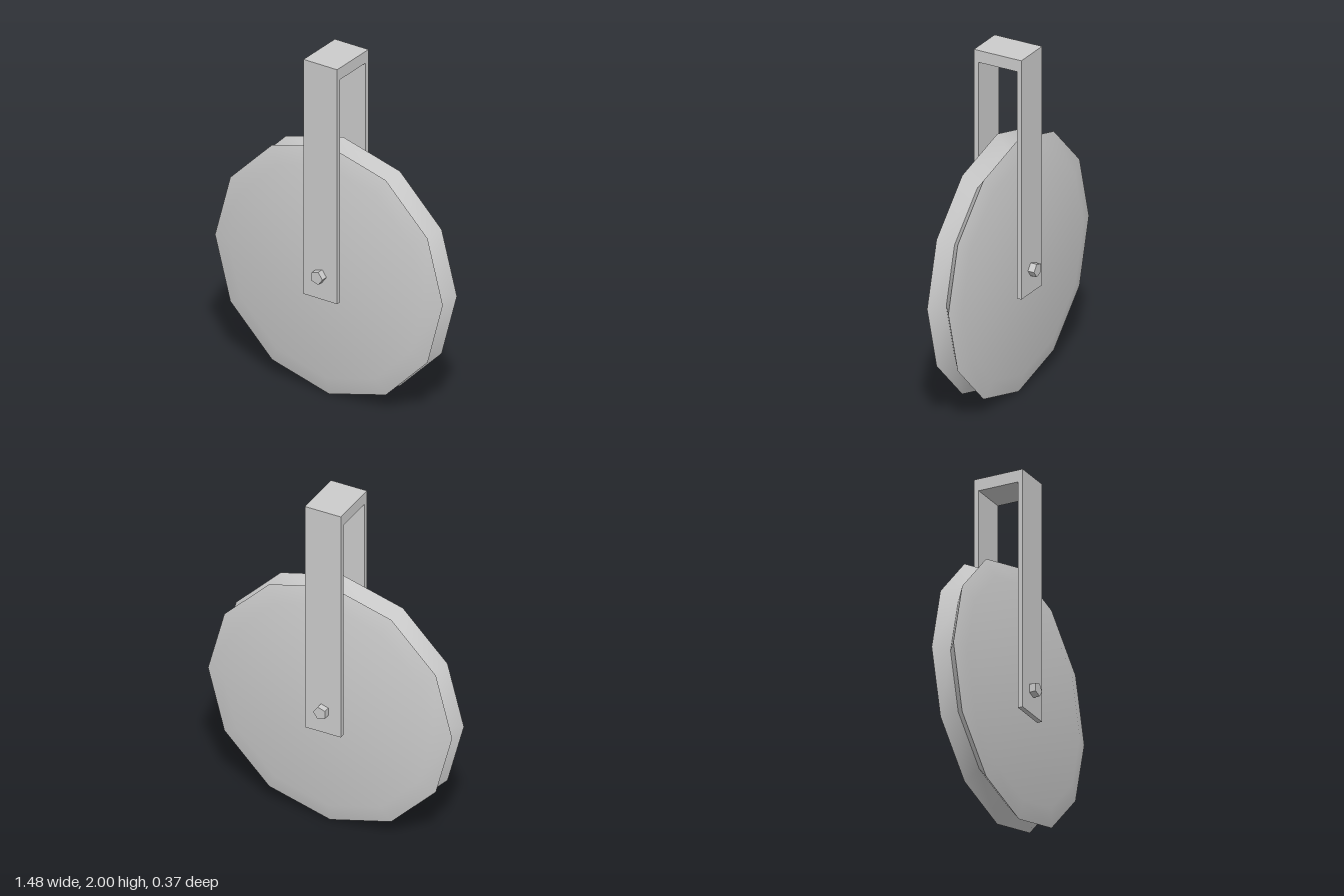
import * as THREE from 'three';
import { toCreasedNormals } from 'three/addons/utils/BufferGeometryUtils.js';

export function createModel() {
  const model = new THREE.Group();
  model.name = 'pulley';
  const grey = new THREE.MeshStandardMaterial({ color: 0xcccccc });
  grey.name = 'light grey';

  const add = (name, geometry, y) => {
    const mesh = new THREE.Mesh(geometry, grey);
    mesh.name = name;
    mesh.position.y = y;
    model.add(mesh);
  };
  const axleY = 0.74;

  // Twelve-sided wheel with a V groove, turned to face front
  const profile = [
    [0, -0.094], [0.635, -0.094], [0.74, -0.066], [0.65, 0],
    [0.74, 0.066], [0.635, 0.094], [0, 0.094],
  ].map(([r, z]) => new THREE.Vector2(r, z));
  const wheel = new THREE.LatheGeometry(profile, 12).rotateX(Math.PI / 2);
  add('wheel', toCreasedNormals(wheel, 0.65), axleY);

  // Five-sided axle with a corner towards +x
  const axle = new THREE.CylinderGeometry(0.04, 0.04, 0.37, 5, 1, false, Math.PI / 2);
  add('axle', toCreasedNormals(axle.rotateX(Math.PI / 2), 0.5), axleY);

  // Fork: one outline in the z-y plane, extruded across x
  const outline = [
    [-0.147, 0.6], [-0.119, 0.6], [-0.119, 1.93], [0.119, 1.93],
    [0.119, 0.6], [0.147, 0.6], [0.147, 2], [-0.147, 2],
  ].map(([z, y]) => new THREE.Vector2(z, y));
  const fork = new THREE.ExtrudeGeometry(new THREE.Shape(outline), { depth: 0.218, bevelEnabled: false });
  fork.translate(0, 0, -0.109).rotateY(Math.PI / 2);
  add('fork', fork, 0);

  return model;
}
